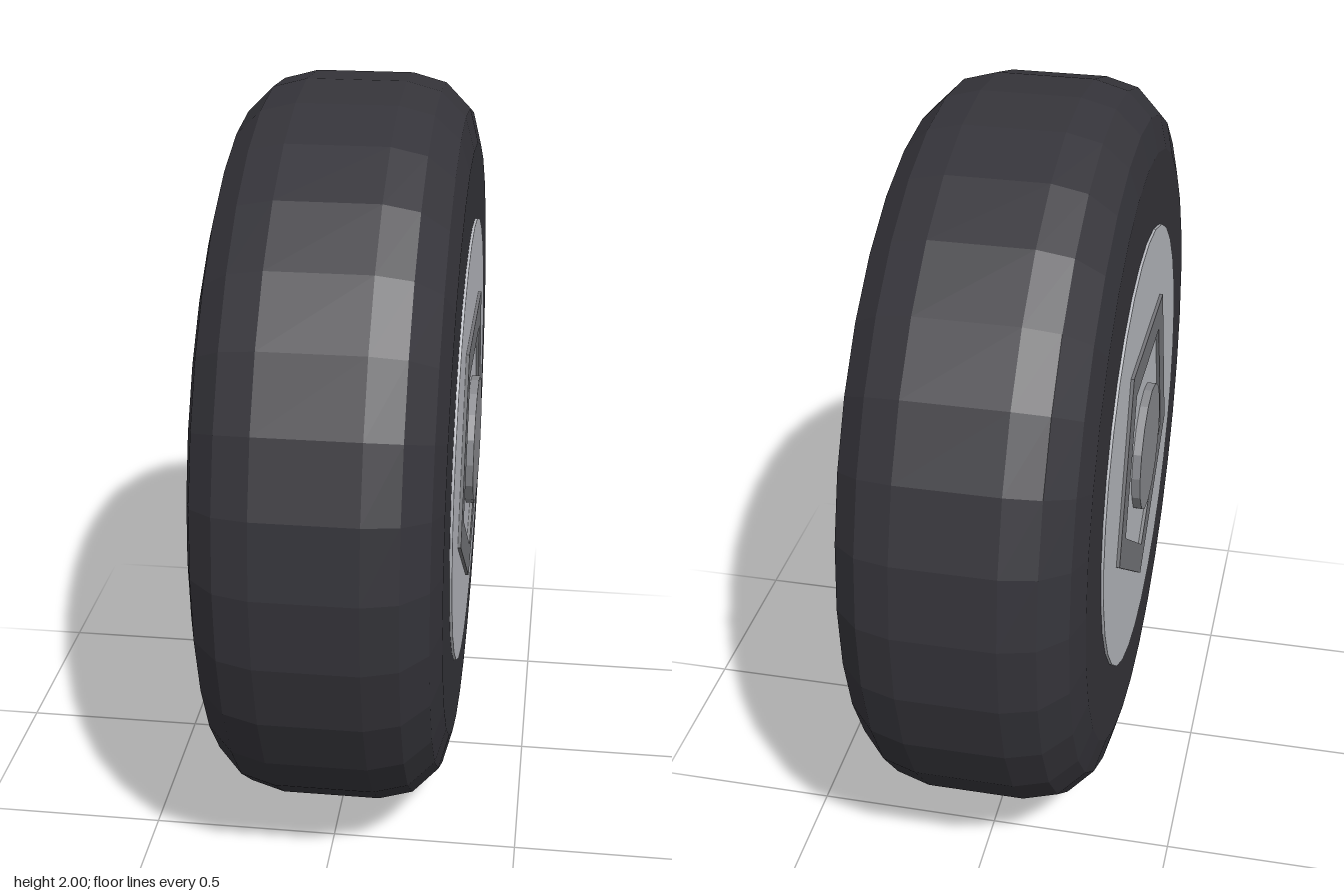
import * as THREE from 'three';

const material = (color) => new THREE.MeshStandardMaterial({ color, flatShading: true });

export function createModel() {
  const wheel = new THREE.Group();
  wheel.name = 'wheel';
  const rubber = material(0x35343a);
  const rimMetal = material(0xb8bac0);
  const ringMetal = material(0x747579);
  const hubMetal = material(0x898a8e);

  const add = (parent, name, geometry, mat) => {
    const mesh = new THREE.Mesh(geometry, mat);
    mesh.name = name;
    parent.add(mesh);
    return mesh;
  };

  // Tyre: a wide cylinder with rounded shoulders, turned round the x axis
  const halfWidth = 0.31, bevel = 0.18, steps = 3;
  const profile = [new THREE.Vector2(0, -halfWidth)];
  for (const side of [-1, 1]) {
    for (let i = 0; i <= steps; i++) {
      const a = ((side < 0 ? i : steps - i) / steps) * Math.PI / 2;
      profile.push(new THREE.Vector2(
        1 - bevel + bevel * Math.sin(a),
        side * (halfWidth - bevel + bevel * Math.cos(a))));
    }
  }
  profile.push(new THREE.Vector2(0, halfWidth));
  const tyre = new THREE.LatheGeometry(profile, 32);
  tyre.rotateZ(-Math.PI / 2);
  add(wheel, 'tyre', tyre, rubber).position.y = 1;

  // Pentagon outline with one corner pointing down
  const pentagon = (radius) => Array.from({ length: 5 }, (_, i) => {
    const a = -Math.PI / 2 + (i * Math.PI * 2) / 5;
    return new THREE.Vector2(radius * Math.cos(a), radius * Math.sin(a));
  });

  // Disc facing outward along +x, starting inside the tyre
  const disc = (radius, outer, sides) => {
    const inner = 0.28;
    const g = new THREE.CylinderGeometry(radius, radius, outer - inner, sides);
    return g.rotateZ(-Math.PI / 2).translate((outer + inner) / 2, 0, 0);
  };

  // Same hubcap on both faces of the wheel
  for (const side of [1, -1]) {
    const cap = new THREE.Group();
    cap.name = side > 0 ? 'leftHubcap' : 'rightHubcap';
    cap.position.y = 1;
    cap.rotation.y = side > 0 ? 0 : Math.PI;
    wheel.add(cap);

    add(cap, 'rimDisc', disc(0.615, 0.317, 32), rimMetal);

    const outline = new THREE.Shape(pentagon(0.43));
    outline.holes.push(new THREE.Path(pentagon(0.33)));
    const ring = new THREE.ExtrudeGeometry(outline, { depth: 0.025, bevelEnabled: false });
    ring.rotateY(Math.PI / 2).translate(0.301, 0, 0);
    add(cap, 'pentagonRing', ring, ringMetal);

    add(cap, 'hub', disc(0.178, 0.34, 16), hubMetal);
  }
  return wheel;
}
